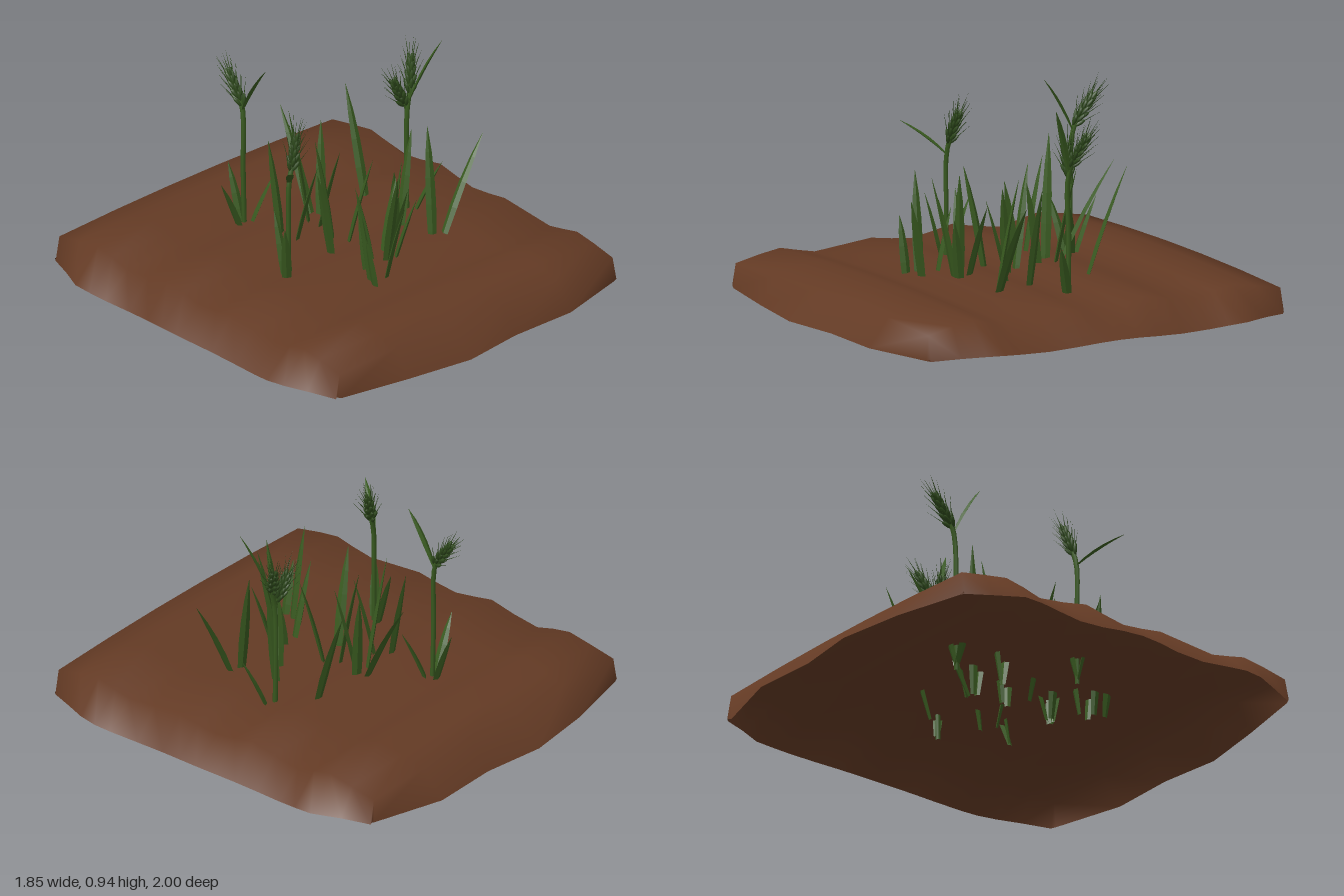
import * as THREE from 'three';

const soilMat = new THREE.MeshStandardMaterial({ color: 0x633a24, side: THREE.DoubleSide });
soilMat.name = 'soilBrown';
const leafMat = new THREE.MeshStandardMaterial({ color: 0x38591f });
leafMat.name = 'leafGreen';
const earMat = new THREE.MeshStandardMaterial({ color: 0x2d481b });
earMat.name = 'earGreen';

const V = (p) => new THREE.Vector3(...p);
const UP = new THREE.Vector3(0, 1, 0);

// Furrow heights along z
const furrows = [[-.87, .13], [-.75, .152], [-.63, .172], [-.54, .155], [-.45, .13], [-.32, .147], [-.2, .172],
  [-.1, .152], [0, .135], [.1, .145], [.2, .16], [.34, .147], [.48, .134], [.56, .15], [.65, .17], [.75, .155], [.87, .13]];
const columns = [-.79, -.46, -.145, .145, .46, .79];
const backRim = [-.88, -.96, -1, -.96, -.97, -.87];
const frontRim = [.88, .945, .995, .96, .965, .88];

// Ploughed patch: open shell with ridges and a flared rim
function makeSoil() {
  const nx = columns.length, nz = furrows.length, pos = [], index = [];
  const rimX = (z) => Math.abs(z) > .63 ? .915 - (Math.abs(z) - .63) * .43 : .912 + .011 * Math.cos(z * 11);
  for (let j = -1; j <= nz; j++) {
    for (let i = -1; i <= nx; i++) {
      const sideX = i < 0 || i === nx, sideZ = j < 0 || j === nz;
      const sx = i < 0 ? -1 : 1, sz = j < 0 ? -1 : 1;
      if (sideX && sideZ) pos.push(.81 * sx, .012, .875 * sz);
      else if (sideX) {
        const z = furrows[j][0];
        pos.push(rimX(z) * sx, .008 + .008 * Math.cos(z * 10), z);
      } else if (sideZ) pos.push(columns[i], .003, j < 0 ? backRim[i] : frontRim[i]);
      else {
        const x = columns[i], [z, y] = furrows[j];
        pos.push(x, y - .03 * x * x, z);
      }
    }
  }
  const row = nx + 2;
  for (let j = 0; j < nz + 1; j++) {
    for (let i = 0; i < nx + 1; i++) {
      const a = j * row + i, b = a + row;
      index.push(a, b, a + 1, b, b + 1, a + 1);
    }
  }
  const g = new THREE.BufferGeometry();
  g.setAttribute('position', new THREE.Float32BufferAttribute(pos, 3));
  g.setIndex(index);
  g.computeVertexNormals();
  const soil = new THREE.Mesh(g, soilMat);
  soil.name = 'soil';
  return soil;
}

// Tapered leaf with a thin diamond section, bending from root to tip
function makeBlade(name, root, tip, width) {
  const a = V(root), c = V(tip);
  const mid = a.clone().lerp(c, .42);
  mid.y += (c.y - a.y) * .1 + .01;
  const curve = new THREE.QuadraticBezierCurve3(a, mid, c);
  const side = new THREE.Vector3(c.z - a.z, 0, a.x - c.x);
  if (side.lengthSq() < 1e-6) side.set(1, 0, 0);
  side.normalize();
  const widths = [.55, .85, 1, .9, .6, .04], pos = [], index = [];
  widths.forEach((w, k) => {
    const t = k / (widths.length - 1), p = curve.getPoint(t);
    const n = curve.getTangent(t).cross(side).normalize();
    for (const [u, v] of [[.5, 0], [0, .2], [-.5, 0], [0, -.2]]) {
      const q = p.clone().addScaledVector(side, u * w * width).addScaledVector(n, v * w * width);
      pos.push(q.x, q.y, q.z);
    }
    if (k) for (let s = 0; s < 4; s++) {
      const b = (k - 1) * 4, i0 = b + s, i1 = b + (s + 1) % 4;
      index.push(i0, i0 + 4, i1, i1, i0 + 4, i1 + 4);
    }
  });
  // Orient outward: side x normal runs against the direction of growth
  for (let i = 0; i < index.length; i += 3) {
    const [p, q, r] = [0, 1, 2].map((k) => new THREE.Vector3().fromArray(pos, index[i + k] * 3));
    const seg = Math.floor(Math.min(index[i], index[i + 1], index[i + 2]) / 4);
    const centre = curve.getPoint((seg + .5) / (widths.length - 1));
    const n = q.clone().sub(p).cross(r.clone().sub(p));
    const out = p.add(q).add(r).divideScalar(3).sub(centre);
    if (n.dot(out) < 0) [index[i + 1], index[i + 2]] = [index[i + 2], index[i + 1]];
  }
  let g = new THREE.BufferGeometry();
  g.setAttribute('position', new THREE.Float32BufferAttribute(pos, 3));
  g.setIndex(index);
  g = g.toNonIndexed();
  g.computeVertexNormals();
  const m = new THREE.Mesh(g, leafMat);
  m.name = name;
  return m;
}

function makeStem(points, radius) {
  const m = new THREE.Mesh(
    new THREE.TubeGeometry(new THREE.CatmullRomCurve3(points.map(V)), 12, radius, 6), leafMat);
  m.name = 'stem';
  return m;
}

// Grain ear: kernels spiralling round an axis, each ending in a bristle
const kernelGeo = new THREE.SphereGeometry(1, 6, 5).scale(.009, .027, .009);
const bristleGeo = new THREE.ConeGeometry(.0022, .085, 3).translate(0, .06, 0);
function makeEar(from, to) {
  const ear = new THREE.Group();
  ear.name = 'grainEar';
  const a = V(from), axis = V(to).sub(a), dir = axis.clone().normalize();
  const u = new THREE.Vector3(0, 0, 1).cross(dir).normalize(), w = dir.clone().cross(u);
  const rows = 8;
  for (let r = 0; r < rows; r++) {
    const t = r / (rows - 1);
    for (let s = 0; s < 3; s++) {
      const ang = s * Math.PI * 2 / 3 + r * 1.05;
      const out = u.clone().multiplyScalar(Math.cos(ang)).addScaledVector(w, Math.sin(ang));
      const aim = dir.clone().addScaledVector(out, .55 - .35 * t).normalize();
      const p = a.clone().addScaledVector(axis, t * .68).addScaledVector(out, .017 - .008 * t);
      for (const [name, geo] of [['kernel', kernelGeo], ['bristle', bristleGeo]]) {
        const m = new THREE.Mesh(geo, earMat);
        m.name = name;
        m.position.copy(p);
        m.quaternion.setFromUnitVectors(UP, aim);
        ear.add(m);
      }
    }
  }
  return ear;
}

// Grass blades: root x, root z, tip x, tip y, tip z
const blades = [
  [.335, -.155, .385, .62, -.355], [.05, -.17, .105, .58, -.46], [.02, -.17, -.055, .69, -.235],
  [.07, -.17, .145, .57, -.25], [-.13, -.13, -.08, .5, -.03], [-.155, -.16, -.15, .57, -.26],
  [.015, -.02, -.02, .58, -.11], [.02, -.15, .07, .52, -.05], [.03, .02, .12, .52, .1],
  [-.07, .06, -.2, .56, .1], [.23, .12, .15, .49, .2], [.04, .24, .16, .46, .2],
  [.01, .24, -.085, .5, .21], [-.095, .31, -.085, .42, .23], [.03, .27, .005, .58, .38],
  [.04, .27, .06, .5, .38], [.06, .27, .14, .42, .35], [.05, .27, .1, .6, .3],
  [-.13, .36, -.2, .57, .34], [-.14, .41, -.21, .38, .41], [-.075, .37, -.03, .48, .46],
  [.32, .26, .37, .62, .17], [.33, .27, .6, .55, .27], [.29, .08, .38, .56, .06],
  [-.155, -.4, -.31, .37, -.38], [-.155, -.4, -.04, .36, -.33], [-.155, -.4, -.14, .37, -.52],
  [-.365, .09, -.435, .4, .15], [-.36, .09, -.34, .4, -.02], [.45, -.03, .55, .35, .07],
];

// Grain stalks: stem path, ears and high leaves
const stalks = [
  { stem: [[-.36, .02, .09], [-.358, .35, .09], [-.355, .58, .09], [-.33, .66, .085]],
    ears: [[[-.335, .65, .085], [-.275, .81, .06]]],
    leaves: [[[-.357, .58, .09], [-.485, .72, .245]]] },
  { stem: [[-.155, .02, -.4], [-.16, .4, -.405], [-.155, .64, -.41], [-.153, .71, -.43]],
    ears: [[[-.153, .7, -.43], [-.145, .85, -.54]]],
    leaves: [[[-.156, .67, -.41], [-.155, .9, -.27]]] },
  { stem: [[.44, .02, -.03], [.44, .35, -.035], [.44, .6, -.03], [.47, .71, -.04]],
    ears: [[[.465, .69, -.04], [.53, .85, -.1]], [[.425, .64, -.04], [.37, .78, -.06]]],
    leaves: [[[.45, .64, -.03], [.535, .94, .085]]] },
];

export function createModel() {
  const model = new THREE.Group();
  model.name = 'grainPatch';
  model.add(makeSoil());

  const grass = new THREE.Group();
  grass.name = 'grass';
  blades.forEach(([x, z, tx, ty, tz]) => grass.add(makeBlade('grassBlade', [x, .04, z], [tx, ty, tz], .045)));
  model.add(grass);

  stalks.forEach(({ stem, ears, leaves }) => {
    const stalk = new THREE.Group();
    stalk.name = 'grainStalk';
    stalk.add(makeStem(stem, .011));
    ears.forEach(([a, b]) => stalk.add(makeEar(a, b)));
    leaves.forEach(([a, b]) => stalk.add(makeBlade('stalkLeaf', a, b, .032)));
    model.add(stalk);
  });
  // Twig carrying the side ear
  model.children[model.children.length - 1].add(makeStem([[.44, .57, -.03], [.435, .61, -.035], [.42, .66, -.04]], .007));
  return model;
}
